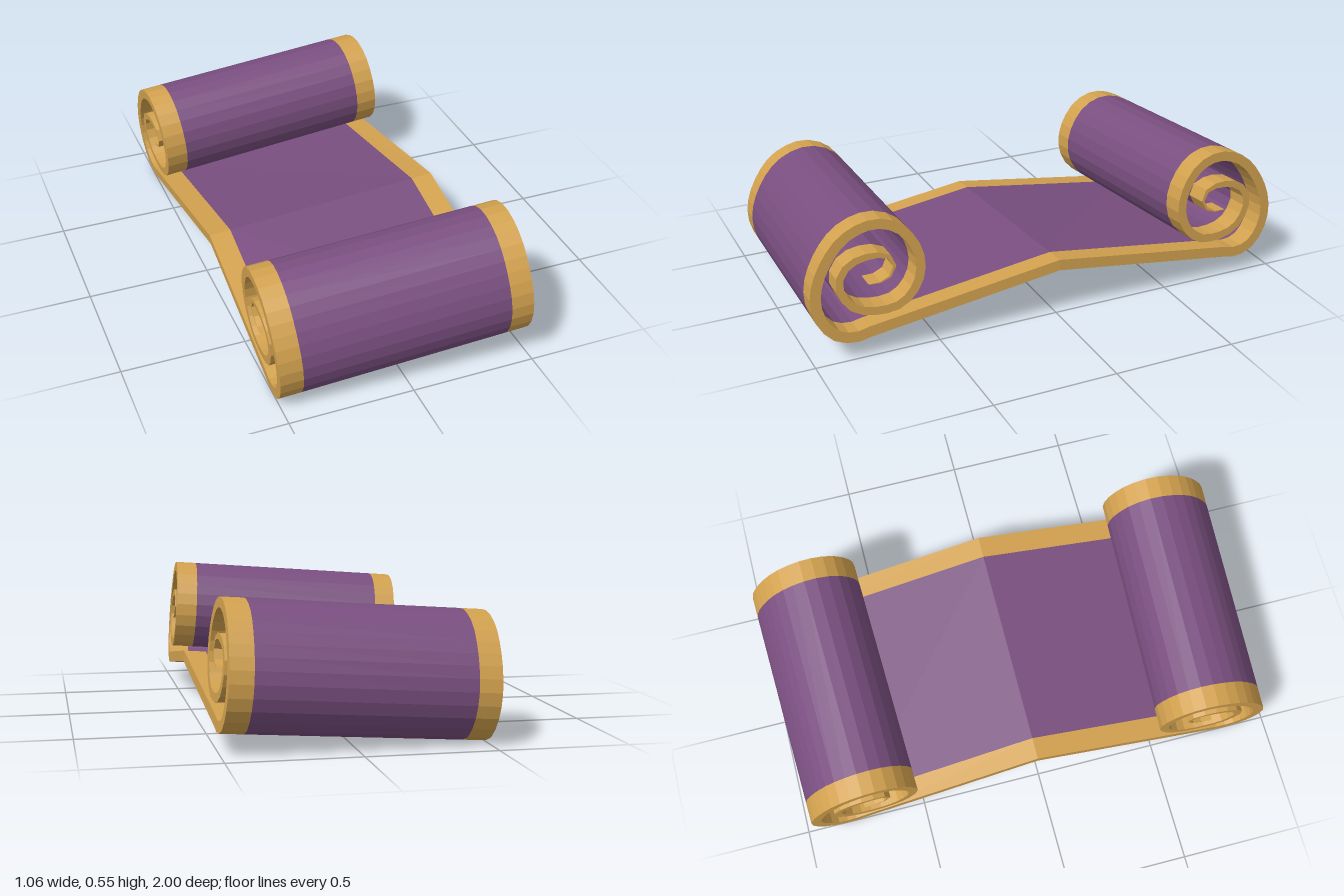
import * as THREE from 'three';

const HALF = 0.505, BAND = 0.09;

// Centre line of one half of the scroll, as (z, y) at the +x end: flat sheet, then the curl
const CURL = [
  [0.78, 0.108], [0.84, 0.097], [0.91, 0.118], [0.965, 0.19], [0.98, 0.28], [0.945, 0.39],
  [0.86, 0.495], [0.745, 0.535], [0.65, 0.505], [0.585, 0.42], [0.568, 0.335], [0.59, 0.26],
  [0.65, 0.2], [0.74, 0.187], [0.83, 0.212], [0.88, 0.28], [0.885, 0.335], [0.845, 0.39],
  [0.76, 0.412], [0.69, 0.397], [0.67, 0.35], [0.705, 0.305], [0.775, 0.3],
];

// Offsets the centre line to both sides, thinning towards the inner tip
function buildProfile() {
  const curve = new THREE.CatmullRomCurve3(CURL.map(([z, y]) => new THREE.Vector3(z, y, 0)));
  const line = [new THREE.Vector3(0, 0.228, 0), ...curve.getSpacedPoints(42)];
  const last = line.length - 1;
  return line.map((p, i) => {
    const t = line[Math.min(i + 1, last)].clone().sub(line[Math.max(i - 1, 0)]).normalize();
    if (i === 0) t.set(1, 0, 0);
    const f = i / last;
    const h = f < 0.5 ? 0.022 - 0.006 * f : f < 0.85 ? 0.019 - 0.014 * (f - 0.5) : 0.0141 * (1 - f) / 0.15;
    return {
      inner: [p.x - t.y * h, p.y + t.x * h],
      outer: [p.x + t.y * h, p.y - t.x * h],
    };
  });
}

// Places a profile point at width s, with the slight tilt and splay of each half
function place(s, [u, v], side) {
  const d = s - HALF;
  const z = u === 0 ? 0 : u + 0.035 * d;
  const y = v + 0.0735 * d;
  return [0.5425 + d - 0.07 * y - 0.04 * z, y, z * side];
}

function makeMesh(name, quads, side, material) {
  const pos = [];
  for (const q of quads) {
    const [a, b, c, d] = side > 0 ? q : [...q].reverse();
    pos.push(...a, ...b, ...c, ...a, ...c, ...d);
  }
  const geo = new THREE.BufferGeometry();
  geo.setAttribute('position', new THREE.Float32BufferAttribute(pos, 3));
  geo.computeVertexNormals();
  const mesh = new THREE.Mesh(geo, material);
  mesh.name = name;
  return mesh;
}

// Both faces of the rolled sheet between two widths
function sheetQuads(profile, s0, s1, side) {
  const quads = [];
  for (let i = 0; i < profile.length - 1; i++) {
    const strip = (key) => [
      place(s0, profile[i][key], side), place(s0, profile[i + 1][key], side),
      place(s1, profile[i + 1][key], side), place(s1, profile[i][key], side),
    ];
    quads.push(strip('inner'), strip('outer').reverse());
  }
  return quads;
}

// The cut edge at one end of the width
function edgeQuads(profile, s, side) {
  const quads = [];
  for (let i = 0; i < profile.length - 1; i++) {
    const a = profile[i], b = profile[i + 1];
    const q = [a.inner, b.inner, b.outer, a.outer].map((p) => place(s, p, side));
    quads.push(s > 0 ? q : q.reverse());
  }
  return quads;
}

export function createModel() {
  const purple = new THREE.MeshStandardMaterial({ color: 0x7a4f80 });
  purple.name = 'purple cloth';
  const gold = new THREE.MeshStandardMaterial({ color: 0xd3a24f });
  gold.name = 'gold trim';

  const model = new THREE.Group();
  model.name = 'scroll';
  const profile = buildProfile();

  // Front and back halves mirror each other and meet at the ridge
  for (const side of [1, -1]) {
    const half = new THREE.Group();
    half.name = side > 0 ? 'frontHalf' : 'backHalf';
    const m = HALF - BAND;
    half.add(makeMesh('cloth', sheetQuads(profile, -m, m, side), side, purple));
    half.add(makeMesh('leftTrim', [
      ...sheetQuads(profile, m, HALF, side), ...edgeQuads(profile, HALF, side)], side, gold));
    half.add(makeMesh('rightTrim', [
      ...sheetQuads(profile, -HALF, -m, side), ...edgeQuads(profile, -HALF, side)], side, gold));
    model.add(half);
  }
  return model;
}
